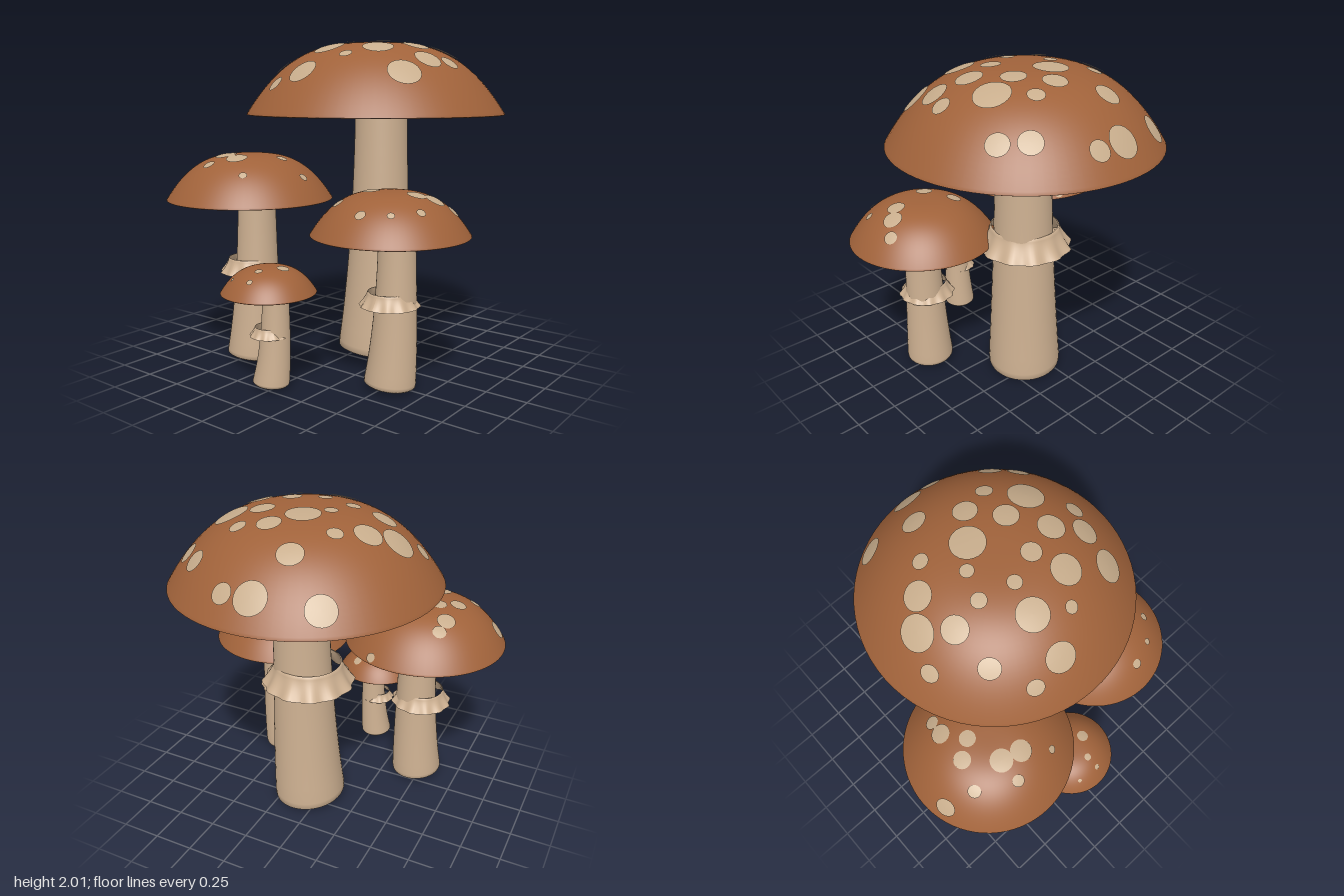
import * as THREE from 'three';
import { mergeGeometries } from 'three/addons/utils/BufferGeometryUtils.js';

const mat = (name, color, side = THREE.FrontSide) => {
  const m = new THREE.MeshStandardMaterial({ color, side });
  m.name = name;
  return m;
};
const V2 = (x, y) => new THREE.Vector2(x, y);
const mesh = (name, geometry, material, y) => {
  const m = new THREE.Mesh(geometry, material);
  m.name = name;
  m.position.y = y;
  return m;
};

// Move every vertex by a rule
function warp(geo, rule) {
  const p = geo.attributes.position;
  const v = new THREE.Vector3();
  for (let i = 0; i < p.count; i++) {
    rule(v.fromBufferAttribute(p, i));
    p.setXYZ(i, v.x, v.y, v.z);
  }
  return geo;
}

// Cap dome: height above the rim at a given distance from the axis
const dome = (rho, R) => 0.545 * R * (1 - Math.pow(Math.min(rho / R, 1), 3));

// Dome with a small rolled lip
function capGeometry(R) {
  const pts = [V2(R * 0.955, 0.012), V2(R * 0.97, 0), V2(R * 0.985, -0.004), V2(R * 0.996, -0.002)];
  for (let i = 0; i <= 28; i++) {
    const rho = R * (1 - Math.pow(i / 28, 1.3));
    pts.push(V2(rho, dome(rho, R)));
  }
  return new THREE.LatheGeometry(pts, 72);
}

// Concave underside
function gillGeometry(R) {
  const pts = [];
  for (let i = 0; i <= 14; i++) {
    const s = i / 14;
    pts.push(V2(R * 0.965 * s, 0.006 + 0.17 * R * (1 - Math.pow(s, 2.2))));
  }
  return new THREE.LatheGeometry(pts, 72);
}

// Tapered stem that bends off its foot, with a slightly tilted base
function stemGeometry(rBase, height) {
  const rTop = 0.695 * rBase;
  const pts = [V2(0, 0.02), V2(rBase * 0.9, 0.02), V2(rBase * 0.98, 0.03)];
  for (let i = 0; i <= 16; i++) {
    const t = 0.03 + 0.97 * i / 16;
    pts.push(V2(rTop + (rBase - rTop) * Math.pow(1 - t, 1.6), 0.02 + t * (height - 0.02)));
  }
  return warp(new THREE.LatheGeometry(pts, 40), v => {
    const t = Math.min(v.y / height, 1);
    v.y += 0.08 * Math.pow(1 - t, 4) * (v.z - v.x);
    const bend = 1 - Math.pow(1 - t, 3);
    v.x += 0.032 * bend;
    v.z -= 0.022 * bend;
  });
}

// Flared skirt with a rippled hem
function ringGeometry(r) {
  const h = 0.46 * r;
  const pts = [];
  for (let i = 0; i <= 8; i++) {
    const t = 1 - i / 8;
    pts.push(V2(r * (0.72 + 0.25 * Math.pow(t, 1.4)), -t * h));
  }
  pts.push(V2(r * 0.69, 0.01 * h));
  const geo = warp(new THREE.LatheGeometry(pts, 96), v => {
    const t = Math.min(Math.max(-v.y / h, 0), 1);
    const wave = Math.cos(12 * Math.atan2(v.z, v.x)) * t;
    v.x *= 1 + 0.035 * wave;
    v.z *= 1 + 0.035 * wave;
    v.y += 0.03 * h * wave;
  });
  geo.computeVertexNormals();
  return geo;
}

// Round patches laid on the dome, shrinking from the first to the last
function spotsGeometry(spots, m) {
  return mergeGeometries(spots.map(([sx, sz], i) => {
    const r = m.R * (0.13 - 0.083 * i / (spots.length - 1));
    const x = sx - m.x, z = sz - m.z;
    const rho = Math.hypot(x, z);
    const slope = 1.635 * (rho / m.R) ** 2;
    const n = new THREE.Vector3(slope * x / rho, 1, slope * z / rho).normalize();
    const u = new THREE.Vector3(-z / rho, 0, x / rho);
    const w = n.clone().cross(u);
    const geo = warp(new THREE.RingGeometry(0, r, 24, 4), v => {
      const a = v.x, b = v.y;
      v.set(x, 0, z).addScaledVector(u, a).addScaledVector(w, b);
      v.y = dome(Math.hypot(v.x, v.z), m.R);
      v.addScaledVector(n, 0.007);
    });
    geo.computeVertexNormals();
    return geo;
  }));
}

// x, z: axis; R: cap radius; y: rim height; rBase: stem foot radius;
// ringY: top of the skirt; spots: plan positions, largest first
const MUSHROOMS = [
  {
    name: 'largeMushroom', x: 0.09, z: -0.17, R: 0.808, y: 1.56, rBase: 0.235, ringY: 1.01,
    spots: [[0.47, -0.34], [-0.46, -0.15], [0.03, -0.31], [0.56, 0.22], [0.04, -0.86], [0.02, 0.2],
      [0.32, 0.13], [0.01, 0.43], [-0.31, -0.77], [-0.34, -0.28], [0.58, 0.01], [0.43, -0.1],
      [-0.32, -0.01], [-0.07, -0.64], [0.29, -0.3], [0.15, -0.47], [0.5, -0.67], [0.62, -0.56],
      [-0.31, 0.24], [0.21, -0.86], [0.24, -0.05], [0.64, -0.13], [-0.54, 0.03], [-0.18, 0.45],
      [0.32, -0.51], [-0.21, -0.41], [-0.14, -0.03], [0.06, 0.02], [-0.08, -0.19], [0.21, 0.29]],
  },
  {
    name: 'mediumMushroomRight', x: -0.47, z: 0.39, R: 0.515, y: 1.04, rBase: 0.168, ringY: 0.66,
    spots: [[-0.51, 0.55], [-0.39, 0.58], [-0.9, 0.51], [-0.66, 0.2], [-0.42, 0.14], [-0.67, 0.4],
      [-0.57, 0.33], [-0.28, 0.07], [-0.65, 0.11], [-0.73, 0.57], [-0.51, 0.69], [-0.23, 0.36],
      [-0.29, -0.07], [-0.07, 0.35], [-0.24, 0.68]],
  },
  {
    name: 'mediumMushroomLeft', x: 0.525, z: 0.29, R: 0.455, y: 0.905, rBase: 0.152, ringY: 0.575,
    spots: [[0.77, 0.23], [0.7, 0.3], [0.45, 0.37], [0.35, 0.2], [0.84, 0.15], [0.33, 0.51],
      [0.56, 0.62], [0.81, 0.43], [0.71, 0.56]],
  },
  {
    name: 'smallMushroom', x: -0.032, z: 0.698, R: 0.275, y: 0.57, rBase: 0.108, ringY: 0.365,
    spots: [[0.07, 0.69], [0.06, 0.53], [-0.12, 0.6], [0, 0.81], [0.01, 0.89], [-0.13, 0.88]],
  },
];

export function createModel() {
  const capMat = mat('capBrown', 0xa0623a);
  const gillMat = mat('gillCream', 0xd0b99b);
  const stemMat = mat('stemCream', 0xcdb091, THREE.DoubleSide);
  const spotMat = mat('spotCream', 0xc8ad8c);

  const model = new THREE.Group();
  model.name = 'mushroomCluster';
  for (const m of MUSHROOMS) {
    const g = new THREE.Group();
    g.name = m.name;
    g.position.set(m.x, 0, m.z);
    g.add(
      mesh('cap', capGeometry(m.R), capMat, m.y),
      mesh('capUnderside', gillGeometry(m.R), gillMat, m.y),
      mesh('capSpots', spotsGeometry(m.spots, m), spotMat, m.y),
      mesh('stem', stemGeometry(m.rBase, m.y + 0.19 * m.R), stemMat, 0),
      mesh('stemRing', ringGeometry(1.4 * m.rBase - 0.035), stemMat, m.ringY),
    );
    model.add(g);
  }
  return model;
}
